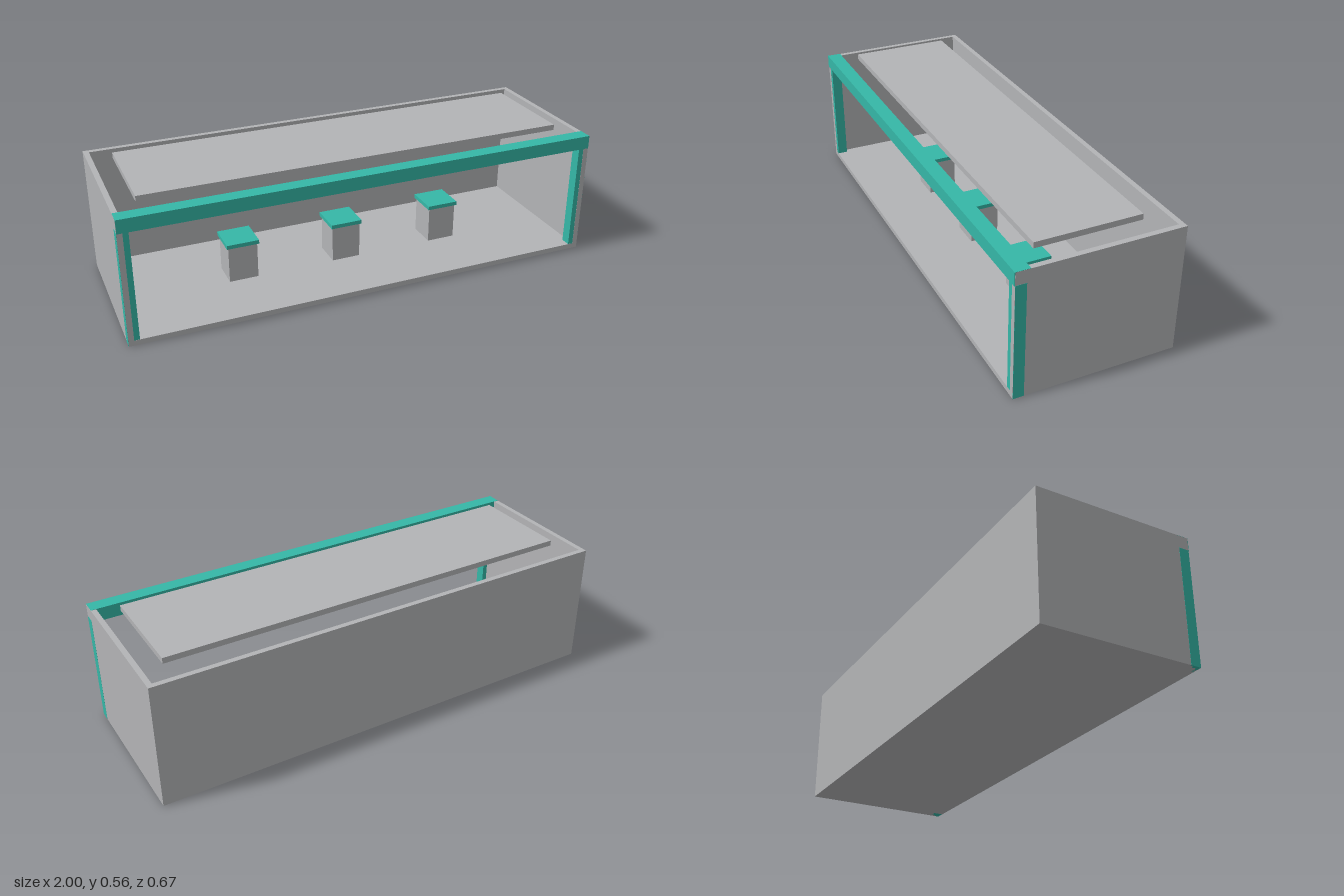
import * as THREE from 'three';

export function createModel() {
  const model = new THREE.Group();
  const grey = new THREE.MeshStandardMaterial({ color: 0xb3b4b6 });
  grey.name = 'concreteGrey';
  const teal = new THREE.MeshStandardMaterial({ color: 0x35b7a7 });
  teal.name = 'tealTrim';

  // Box given by its minimum and maximum corners
  function box(name, material, [x0, y0, z0], [x1, y1, z1], parent = model) {
    const mesh = new THREE.Mesh(new THREE.BoxGeometry(x1 - x0, y1 - y0, z1 - z0), material);
    mesh.position.set((x0 + x1) / 2, (y0 + y1) / 2, (z0 + z1) / 2);
    mesh.name = name;
    parent.add(mesh);
    return mesh;
  }

  const W = 1, D = 0.333, H = 0.533, T = 0.022; // half width, half depth, height, wall thickness

  // Open-fronted shell
  box('floor', grey, [-W + T, 0, -D + T], [W - T, T, D]);
  box('backWall', grey, [-W, 0, -D], [W, H, -D + T]);

  for (const side of [-1, 1]) {
    const label = side < 0 ? 'right' : 'left';
    const span = (a, b) => [Math.min(side * a, side * b), Math.max(side * a, side * b)];

    const [w0, w1] = span(W - T, W);
    box(label + 'Wall', grey, [w0, 0, -D + T], [w1, H, D]);

    // Corner post, wrapping the front end of the wall
    const [p0, p1] = span(0.956, W + 0.0005);
    box(label + 'Post', teal, [p0, 0, 0.289], [p1, 0.48, D - 0.0005]);
  }

  // Fascia beam across the top of the opening
  box('fasciaBeam', teal, [-W + 0.0005, 0.478, 0.275], [W - 0.0005, H + 0.001, 0.335]);

  // Raised ceiling panel
  box('roofPanel', grey, [-0.9, H, -0.216], [0.9, 0.557, 0.216]);

  // Row of display pedestals with teal caps
  for (const x of [-0.46, 0, 0.46]) {
    const pedestal = new THREE.Group();
    pedestal.name = 'pedestal';
    pedestal.position.x = x;
    box('pedestalColumn', grey, [-0.062, T, -0.062], [0.062, 0.178, 0.062], pedestal);
    box('pedestalCap', teal, [-0.069, 0.178, -0.069], [0.069, 0.195, 0.069], pedestal);
    model.add(pedestal);
  }

  return model;
}
